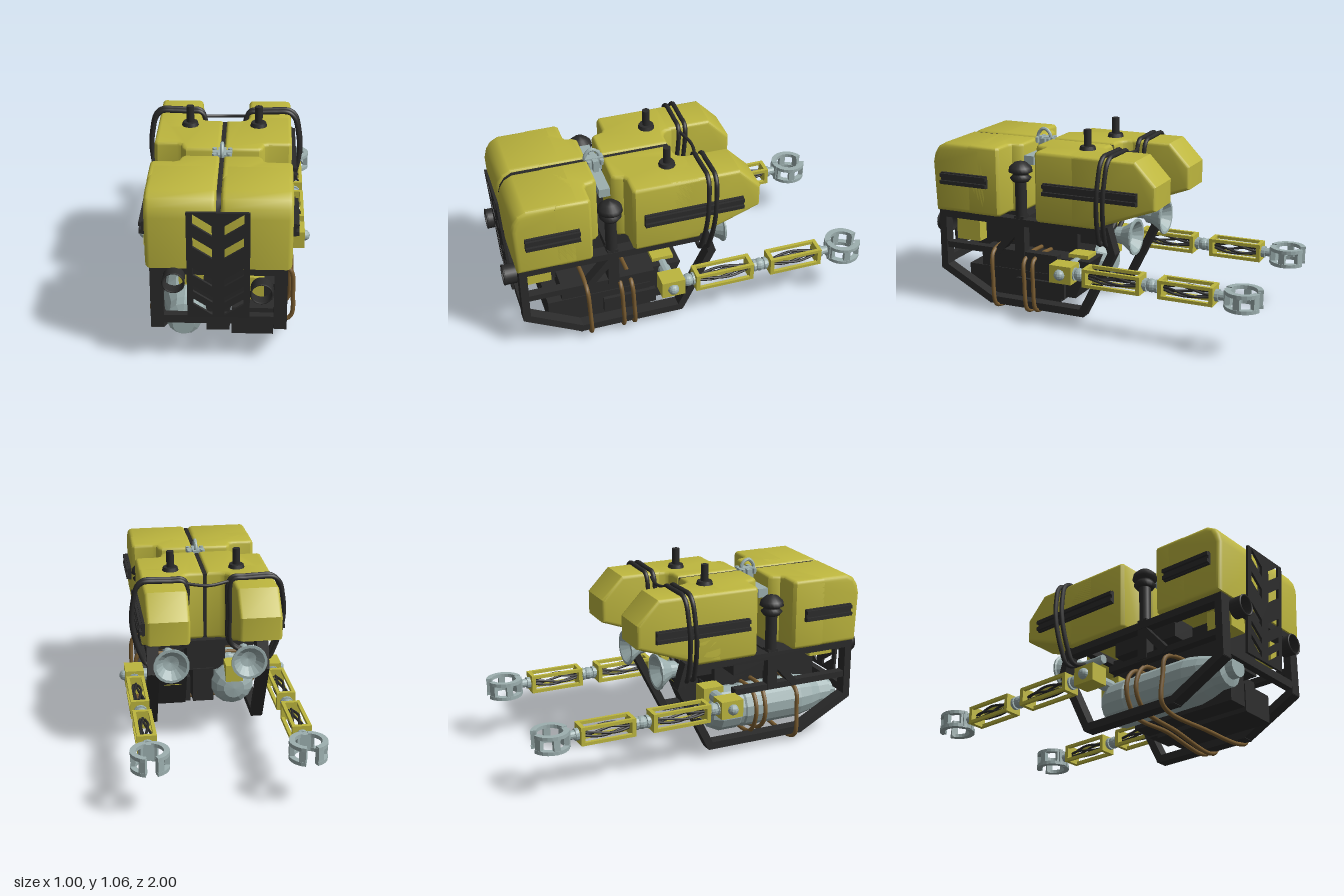
import * as THREE from 'three';
import { toCreasedNormals } from 'three/addons/utils/BufferGeometryUtils.js';

const paint = (color, o = {}) => new THREE.MeshStandardMaterial({ color, ...o });
const yellow = paint(0xbdb63e);
const black = paint(0x2b2b2b);
const blackOpen = paint(0x2b2b2b, { side: THREE.DoubleSide });
const steel = paint(0x9db0b0, { flatShading: true, side: THREE.DoubleSide });
const hemp = paint(0x7a5c30);
const V = (x, y, z) => new THREE.Vector3(x, y, z);

export function createModel() {
  const root = new THREE.Group();
  const add = (name, geo, mat, parent = root) => {
    const m = new THREE.Mesh(geo, mat);
    m.name = name;
    parent.add(m);
    return m;
  };
  const group = (name) => {
    const g = new THREE.Group();
    g.name = name;
    root.add(g);
    return g;
  };
  // Box given by its limits on each axis
  const box = (name, mat, [x0, x1], [y0, y1], [z0, z1], parent) => {
    const m = add(name, new THREE.BoxGeometry(Math.abs(x1 - x0), y1 - y0, z1 - z0), mat, parent);
    m.position.set((x0 + x1) / 2, (y0 + y1) / 2, (z0 + z1) / 2);
    return m;
  };
  // Cylinder from point a to point b
  const rod = (name, mat, a, b, r0, r1 = r0, seg = 14, parent = root) => {
    const m = add(name, new THREE.CylinderGeometry(r1, r0, a.distanceTo(b), seg), mat, parent);
    m.position.copy(a).lerp(b, 0.5);
    m.quaternion.setFromUnitVectors(V(0, 1, 0), b.clone().sub(a).normalize());
    return m;
  };
  const rope = (name, mat, pts, r, closed, parent) =>
    add(name, new THREE.TubeGeometry(new THREE.CatmullRomCurve3(pts, closed), pts.length * 8, r, 8, closed), mat, parent);
  // Bevelled extrusion whose outline and depth include the bevel
  const extrude = (pts, depth, b) => {
    const g = new THREE.ExtrudeGeometry(new THREE.Shape(pts), {
      depth: depth - 2 * b, bevelEnabled: b > 0, bevelThickness: b, bevelSize: b, bevelOffset: -b, bevelSegments: 3,
    });
    return toCreasedNormals(g.translate(0, 0, b), 0.6);
  };
  // Side profile [z, y] extruded across x
  const slab = (name, mat, pts, xa, xb, b, parent) => {
    const g = extrude(pts.map(([z, y]) => new THREE.Vector2(-z, y)), Math.abs(xb - xa), b);
    return add(name, g.rotateY(Math.PI / 2).translate(Math.min(xa, xb), 0, 0), mat, parent);
  };
  // Plan [x, z] extruded upwards through the height of the float
  const planBlock = (name, s, pts, parent) => {
    const g = extrude(pts.map(([x, z]) => new THREE.Vector2(s * x, -z)), 0.395, 0.02);
    return add(name, g.rotateX(-Math.PI / 2).translate(0, 0.56, 0), yellow, parent);
  };

  // Buoyancy float, two mirrored halves around a dark seam
  const float = group('float');
  for (const s of [-1, 1]) {
    slab('frontFloat', yellow, [[0.6, 0.56], [0.94, 0.56], [0.952, 0.84], [0.94, 0.89], [0.915, 0.93], [0.87, 0.955], [0.6, 0.955]],
      s * 0.01, s * 0.362, 0.025, float);
    planBlock('frontFloatNotch', s, [[0.01, 0.46], [0.19, 0.46], [0.21, 0.48], [0.22, 0.52], [0.24, 0.53], [0.345, 0.53],
      [0.362, 0.545], [0.362, 0.72], [0.01, 0.72]], float);
    planBlock('rearFloat', s, [[0.01, 0.38], [0.19, 0.38], [0.21, 0.36], [0.22, 0.32], [0.24, 0.31], [0.345, 0.31],
      [0.362, 0.295], [0.362, -0.06], [0.13, -0.06], [0.123, -0.03], [0.108, -0.01], [0.08, 0], [0.01, 0]], float);
    slab('pontoon', yellow, [[0.1, 0.56], [-0.03, 0.56], [-0.4, 0.7], [-0.4, 0.83], [-0.28, 0.955], [0.1, 0.955]],
      s * 0.13, s * 0.362, 0.02, float);
    // Ribbed side bumpers
    for (const [z0, z1] of [[0.6, 0.89], [-0.3, 0.25]]) {
      box('bumperBase', black, [s * 0.355, s * 0.378], [0.72, 0.79], [z0, z1], float);
      for (const y of [0.725, 0.765]) box('bumperRib', black, [s * 0.37, s * 0.392], [y, y + 0.02], [z0, z1], float);
    }
    // Antenna stubs
    rod('antennaBase', black, V(s * 0.185, 0.95, 0.07), V(s * 0.185, 0.975, 0.07), 0.048, 0.04, 12, float);
    rod('antenna', black, V(s * 0.185, 0.96, 0.07), V(s * 0.185, 1.065, 0.07), 0.021, 0.021, 12, float);
    // Straps around the pontoons
    const loop = [[0.115, 0.93], [0.14, 0.96], [0.2, 0.962], [0.28, 0.965], [0.35, 0.962], [0.385, 0.93], [0.405, 0.85], [0.414, 0.75],
      [0.402, 0.65], [0.37, 0.54], [0.335, 0.475], [0.26, 0.49], [0.16, 0.54], [0.122, 0.58], [0.115, 0.75]];
    for (const [z, k] of [[-0.098, 0], [-0.138, 0.006]])
      rope('strap', black, loop.map(([x, y]) => V(s * (x + k), y, z + (0.95 - y) * 0.06)), 0.013, true, float);
  }
  slab('seam', black, [[0.005, 0.57], [0.93, 0.57], [0.942, 0.84], [0.93, 0.885], [0.905, 0.92], [0.865, 0.945], [0.005, 0.945]],
    -0.011, 0.011, 0, float);
  rope('strapLink', black, [V(-0.12, 0.935, -0.1), V(0, 0.925, -0.13), V(0.12, 0.935, -0.11)], 0.009, false, float);

  // Lifting eye and its cross beam
  const lift = group('liftingEye');
  box('crossBeam', steel, [-0.21, 0.21], [0.84, 0.89], [0.39, 0.45], lift);
  box('eyePlate', steel, [-0.05, 0.05], [0.88, 0.958], [0.405, 0.435], lift);
  box('eyeBlock', steel, [-0.02, 0.02], [0.88, 0.96], [0.37, 0.47], lift);
  for (const x of [-0.04, 0.04]) for (const z of [0.385, 0.455])
    rod('bolt', steel, V(x, 0.93, z), V(x, 0.96, z), 0.012, 0.012, 8, lift);
  rope('eye', steel, [V(0, 0.93, 0.395), V(0, 0.97, 0.392), V(0, 1, 0.415), V(0, 1.003, 0.44), V(0, 0.97, 0.468), V(0, 0.93, 0.465)], 0.01, false, lift);

  // Frame
  const frame = group('frame');
  const beam = (name, x, [z0, y0], [z1, y1], t, w) => {
    const m = add(name, new THREE.BoxGeometry(w, t, Math.hypot(z1 - z0, y1 - y0) + t * 0.5), black, frame);
    m.position.set(x, (y0 + y1) / 2, (z0 + z1) / 2);
    m.rotation.x = -Math.atan2(y1 - y0, z1 - z0);
  };
  for (const s of [-1, 1]) {
    const x = s * 0.308;
    const path = [[0.91, 0.55], [0.91, 0.225], [0.61, 0.065], [0.04, 0.065], [-0.14, 0.43], [-0.1, 0.56]];
    for (let i = 0; i < 5; i++) beam('sideRail', x, path[i], path[i + 1], 0.042, 0.066);
    beam('topRail', x, [0.92, 0.54], [-0.08, 0.54], 0.04, 0.066);
    beam('middleRail', x, [0.91, 0.355], [0.2, 0.355], 0.035, 0.05);
    beam('brace', x, [0.56, 0.36], [0.42, 0.52], 0.04, 0.06);
    beam('upright', x, [0.42, 0.36], [0.42, 0.56], 0.06, 0.06);
    // Domed beacon on a post
    rod('beaconPost', black, V(x, 0.54, 0.42), V(x, 0.8, 0.42), 0.032, 0.032, 14, frame);
    const cap = [[0, 0.77], [0.045, 0.77], [0.06, 0.79], [0.045, 0.805], [0.045, 0.815], [0.067, 0.825], [0.062, 0.85], [0.035, 0.875], [0, 0.885]];
    add('beacon', new THREE.LatheGeometry(cap.map((p) => new THREE.Vector2(...p)), 20), black, frame).position.set(x, 0, 0.42);
  }
  for (const [y, z, h] of [[0.262, 0.91, 0.045], [0.54, 0.91, 0.04], [0.54, 0.42, 0.04], [0.54, 0, 0.04]])
    box('crossBar', black, [-0.3, 0.3], [y - h / 2, y + h / 2], [z - 0.02, z + 0.02], frame);

  // Louvred front guard with mirrored slanted slots
  const guard = new THREE.Shape([[-0.155, 0], [0.155, 0], [0.155, 0.605], [-0.155, 0.605]].map((p) => new THREE.Vector2(...p)));
  for (const [top, h] of [[0.885, 0.058], [0.755, 0.055], [0.58, 0.042], [0.475, 0.032], [0.4, 0.032]])
    for (const s of [-1, 1]) {
      const t = top - 0.288;
      guard.holes.push(new THREE.Path([[0.125, t], [0.03, t - 0.065], [0.03, t - 0.065 - h], [0.125, t - h]]
        .map(([x, y]) => new THREE.Vector2(s * x, y))));
    }
  const guardMesh = add('frontGuard', new THREE.ExtrudeGeometry(guard, { depth: 0.014, bevelEnabled: false }), black);
  guardMesh.position.set(0, 0.288, 0.935);
  guardMesh.rotation.x = 0.06;

  // Front lamp housings and sensor blocks
  for (const [x, y] of [[-0.22, 0.51], [0.213, 0.455]]) {
    const tube = add('lampHousing', new THREE.CylinderGeometry(0.055, 0.055, 0.07, 24, 1, true), blackOpen);
    tube.rotation.x = Math.PI / 2;
    tube.position.set(x, y, 0.962);
    const rim = add('lampRim', new THREE.TorusGeometry(0.053, 0.005, 6, 24), black);
    rim.position.set(x, y, 0.995);
  }
  box('sensorBlock', yellow, [0.15, 0.225], [0.36, 0.485], [0.74, 0.89]);
  box('sensorBlock', yellow, [-0.2, -0.08], [0.44, 0.56], [0.74, 0.89]);

  // Equipment boxes
  box('centralBox', black, [-0.14, 0.14], [0.3, 0.54], [0.16, 0.8]);
  box('rearPanel', black, [-0.1, 0.1], [0.39, 0.54], [0.02, 0.2]);
  box('upperBox', black, [-0.29, -0.13], [0.44, 0.55], [0.2, 0.6]);
  box('sideBox', black, [0.06, 0.275], [0.085, 0.24], [0.2, 0.78]);
  slab('sideBoxUpper', black, [[0.7, 0.23], [0.7, 0.34], [0.02, 0.34], [0.11, 0.12], [0.3, 0.12]], 0.1, 0.27, 0);
  box('sideBoxPanel', black, [0.27, 0.295], [0.11, 0.2], [0.17, 0.47]);
  box('smallBox', black, [-0.07, 0.05], [0.105, 0.31], [0.15, 0.78]);

  // Pressure hull
  const hull = [[0, 0.06], [0.06, 0.065], [0.1, 0.09], [0.125, 0.14], [0.125, 0.25], [0.118, 0.26], [0.118, 0.28], [0.125, 0.29],
    [0.125, 0.64], [0.11, 0.72], [0.09, 0.78], [0.09, 0.85], [0.055, 0.86], [0.055, 0.905], [0, 0.905]];
  add('pressureHull', new THREE.LatheGeometry(hull.map((p) => new THREE.Vector2(...p)), 14).rotateX(Math.PI / 2), steel)
    .position.set(-0.18, 0.212, 0);

  // Rear thruster horns
  for (const s of [-1, 1]) {
    const horn = [[0, -0.05], [0.025, -0.05], [0.025, 0.1], [0.045, 0.12], [0.05, 0.16], [0.09, 0.22], [0.1, 0.225], [0.1, 0.235],
      [0.085, 0.235], [0.045, 0.19], [0, 0.18]];
    add('thrusterHorn', new THREE.LatheGeometry(horn.map((p) => new THREE.Vector2(...p)), 18).rotateX(-Math.PI / 2), steel)
      .position.set(s * 0.215, 0.505, 0);
  }

  // Manipulator arms
  for (const s of [-1, 1]) {
    const arm = group(s > 0 ? 'leftArm' : 'rightArm');
    arm.position.set(s * 0.4, 0.312, 0);
    box('mountBlock', yellow, [-s * 0.27, -s * 0.17], [-0.05, 0.05], [0.05, 0.17], arm);
    rod('mountAxle', steel, V(-s * 0.18, 0, 0.115), V(-s * 0.04, 0, 0.115), 0.035, 0.035, 12, arm);
    box('shoulder', yellow, [-s * 0.055, s * 0.05], [-0.05, 0.05], [0.05, 0.18], arm);
    const pin = add('shoulderPin', new THREE.SphereGeometry(0.031, 12, 8), steel, arm);
    pin.position.set(s * 0.05, 0, 0.118);
    for (const [z0, z1] of [[0.06, -0.02], [-0.34, -0.46]]) {
      const mid = (z0 + z1) / 2;
      rod('jointShaft', steel, V(0, 0, z0), V(0, 0, z1), 0.025, 0.025, 12, arm);
      add('jointBall', new THREE.SphereGeometry(0.036, 12, 8), steel, arm).position.z = mid;
      for (const e of [-0.032, 0.032])
        rod('jointCollar', steel, V(0, 0, mid + e - 0.008), V(0, 0, mid + e + 0.008), 0.036, 0.036, 12, arm);
    }
    rod('wrist', steel, V(0, 0, -0.74), V(0, 0, -0.83), 0.024, 0.024, 12, arm);
    rod('wristCollar', steel, V(0, 0, -0.755), V(0, 0, -0.775), 0.033, 0.033, 12, arm);
    // Open cage links with cables inside
    for (const [z0, z1] of [[-0.35, -0.015], [-0.755, -0.45]]) {
      for (const z of [z0, z1 - 0.022]) box('cageEnd', yellow, [-0.051, 0.051], [-0.051, 0.051], [z, z + 0.022], arm);
      for (const x of [-1, 1]) for (const y of [-1, 1])
        box('cageRail', yellow, [x * 0.033, x * 0.051], [y * 0.042 - 0.009, y * 0.042 + 0.009], [z0, z1], arm);
      for (let c = 0; c < 5; c++) {
        const pts = [];
        for (let i = 0; i <= 6; i++) {
          const a = c * 1.26 + i * 0.3;
          const r = 0.01 + 0.022 * Math.sin((i / 6) * Math.PI);
          pts.push(V(r * Math.cos(a), r * Math.sin(a), z0 + 0.01 + (i / 6) * (z1 - z0 - 0.02)));
        }
        rope('armCable', black, pts, 0.007, false, arm);
      }
    }
    // Gripper of two curved claws, each two plates joined by posts
    box('gripperPalm', steel, [-0.04, 0.04], [-0.045, 0.045], [-0.84, -0.81], arm);
    for (const k of [-1, 1]) {
      const a0 = k > 0 ? -1.4 : Math.PI - 1.25;
      const claw = new THREE.Shape();
      claw.absarc(0, 0, 0.1, a0, a0 + 2.65, false);
      claw.absarc(0, 0, 0.07, a0 + 2.65, a0, true);
      for (const y of [-0.05, 0.03]) {
        const g = new THREE.ExtrudeGeometry(claw, { depth: 0.02, bevelEnabled: false, curveSegments: 5 });
        add('clawPlate', g.rotateX(-Math.PI / 2), steel, arm).position.set(0, y, -0.905);
      }
      for (const t of [0.2, 1.3, 2.45]) {
        const post = add('clawPost', new THREE.BoxGeometry(0.026, 0.08, 0.035), steel, arm);
        post.position.set(0.084 * Math.cos(a0 + t), 0, -0.905 - 0.084 * Math.sin(a0 + t));
        post.rotation.y = a0 + t;
      }
    }
  }

  // Rope loops slung around the frame
  const slings = [
    [0.57, [[-0.36, 0.2], [-0.365, 0.06], [-0.31, 0.022], [0, 0.02], [0.3, 0.03], [0.37, 0.06], [0.38, 0.2], [0.365, 0.35], [0.3, 0.378], [0, 0.35], [-0.28, 0.335], [-0.345, 0.3]]],
    [0.38, [[-0.34, 0.2], [-0.28, 0.1], [0, 0.06], [0.29, 0.022], [0.355, 0.05], [0.365, 0.2], [0.355, 0.32], [0.29, 0.35], [0, 0.34], [-0.28, 0.33]]],
    [0.32, [[-0.345, 0.22], [-0.28, 0.085], [0, 0.07], [0.3, 0.035], [0.365, 0.06], [0.375, 0.2], [0.36, 0.33], [0.28, 0.348], [0, 0.33], [-0.29, 0.32]]],
  ];
  for (const [z, pts] of slings)
    rope('ropeLoop', hemp, pts.map(([x, y]) => V(x, y, z + (y - 0.2) * 0.04)), 0.012, true);

  return root;
}
